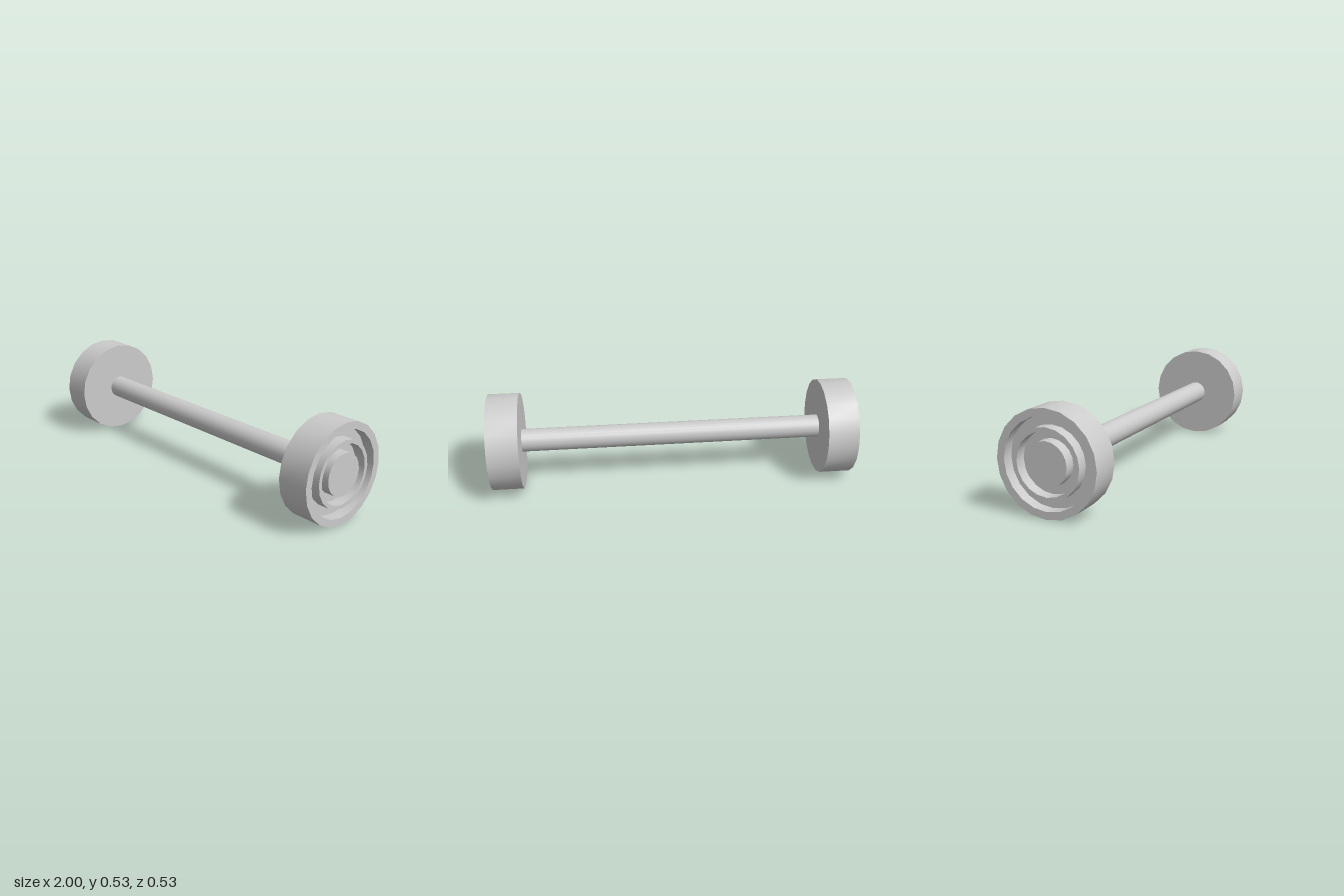
import * as THREE from 'three';
import { toCreasedNormals } from 'three/addons/utils/BufferGeometryUtils.js';

const SIDES = 20;
const RADIUS = 0.266;

export function createModel() {
  const model = new THREE.Group();
  model.name = 'wheelAxle';
  const material = new THREE.MeshStandardMaterial({ color: 0xcccccc });

  // Axle bar between the wheels
  const axleGeometry = new THREE.CylinderGeometry(0.063, 0.063, 1.68, SIDES);
  axleGeometry.rotateZ(-Math.PI / 2);
  const axle = new THREE.Mesh(axleGeometry, material);
  axle.name = 'axle';
  axle.position.y = RADIUS;
  model.add(axle);

  // Wheel profile (radius, distance along axle): flat back, tyre, two ring-shaped recesses, hub
  const inner = 0.83, outer = 1, floor = 0.94;
  const profile = [
    [0, inner], [RADIUS, inner], [RADIUS, outer],
    [0.227, outer], [0.227, floor], [0.177, floor], [0.177, outer],
    [0.157, outer], [0.157, floor], [0.112, floor], [0.112, outer], [0, outer],
  ].map(([r, d]) => new THREE.Vector2(r, d));
  const wheelGeometry = toCreasedNormals(new THREE.LatheGeometry(profile, SIDES), 0.6);
  wheelGeometry.rotateZ(-Math.PI / 2);

  // Matching wheels facing outward at both ends
  for (const [name, turn] of [['leftWheel', 0], ['rightWheel', Math.PI]]) {
    const wheel = new THREE.Mesh(wheelGeometry, material);
    wheel.name = name;
    wheel.position.y = RADIUS;
    wheel.rotation.y = turn;
    model.add(wheel);
  }
  return model;
}
